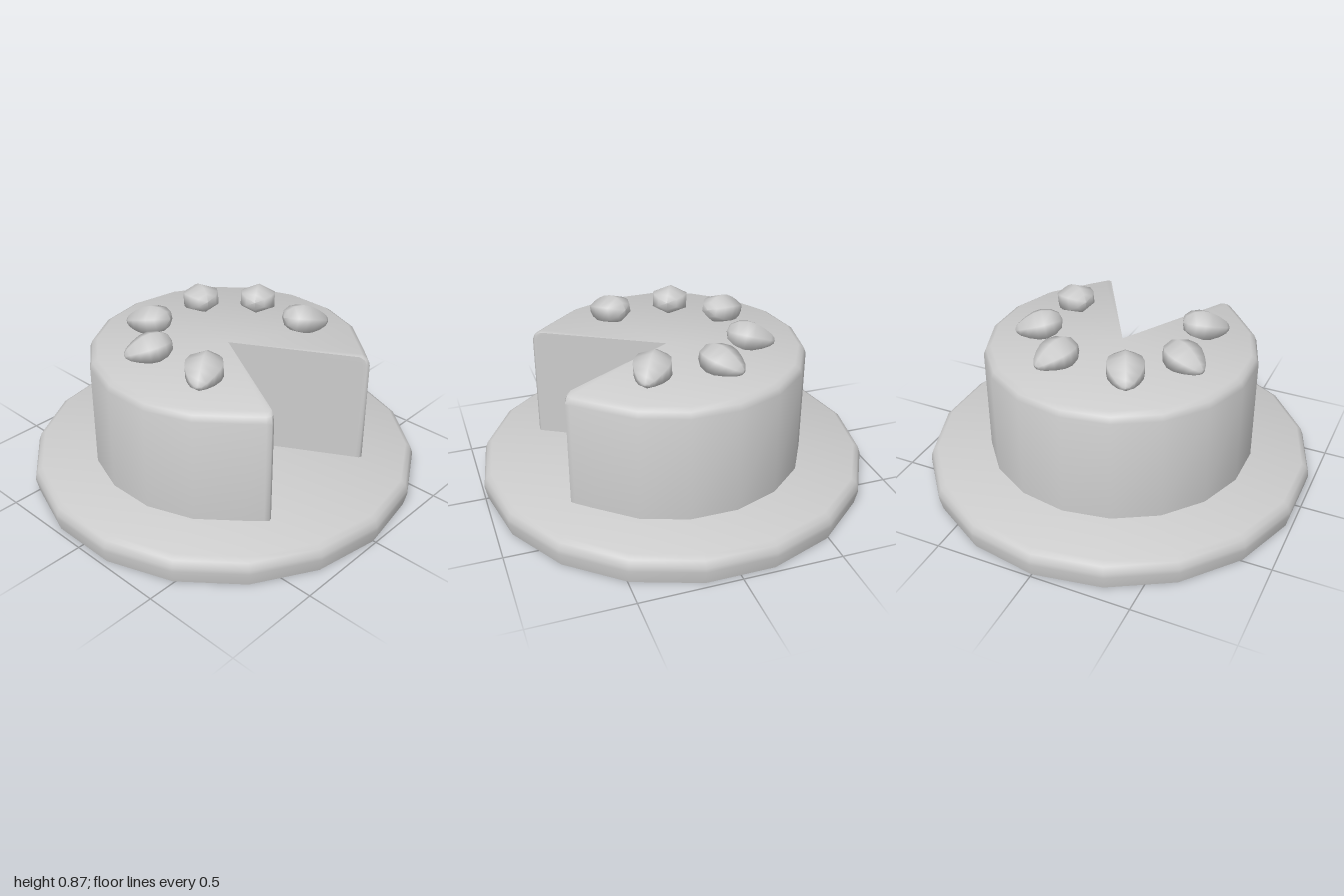
import * as THREE from 'three';
import { toCreasedNormals } from 'three/addons/utils/BufferGeometryUtils.js';

const material = new THREE.MeshStandardMaterial({ color: 0xcccccc });
const SIDES = 18;

function lathe(profile, sides) {
  return new THREE.LatheGeometry(profile.map(([r, y]) => new THREE.Vector2(r, y)), sides);
}

function part(name, geometry) {
  const mesh = new THREE.Mesh(geometry, material);
  mesh.name = name;
  return mesh;
}

// Round cake with a slice removed: a wedge outline stacked in levels.
function cakeGeometry() {
  const apex = [0, 0.03], radius = 0.69, centreZ = 0.02;
  const corner = [[0.335, 0.615], [0.345, 0.632], [0.362, 0.636], [0.38, 0.62]];
  const outline = [apex, ...corner];
  for (let i = 2; i <= SIDES - 2; i++) {
    const a = (i / SIDES) * Math.PI * 2;
    outline.push([Math.sin(a) * radius, centreZ + Math.cos(a) * radius]);
  }
  outline.push(...corner.map(([x, z]) => [-x, z]).reverse());

  // Height and scale towards the slice apex; the last levels round the rim.
  const levels = [[0.14, 1], [0.68, 1], [0.71, 0.982], [0.725, 0.945]];
  const positions = [], index = [], n = outline.length;
  for (const [y, s] of levels) {
    for (const [x, z] of outline) positions.push(x * s, y, apex[1] + (z - apex[1]) * s);
  }
  for (let k = 0; k < levels.length - 1; k++) {
    for (let i = 0; i < n; i++) {
      const j = (i + 1) % n, a = k * n + i, b = k * n + j;
      index.push(a, b, b + n, a, b + n, a + n);
    }
  }
  // Top and bottom caps fan out from the apex.
  const top = (levels.length - 1) * n;
  for (let i = 1; i < n - 1; i++) {
    index.push(top, top + i, top + i + 1, 0, i + 1, i);
  }
  const geometry = new THREE.BufferGeometry();
  geometry.setAttribute('position', new THREE.Float32BufferAttribute(positions, 3));
  geometry.setIndex(index);
  return toCreasedNormals(geometry, 1.0);
}

// Six-sided teardrop lying on its side, tip along +z and dipping slightly.
function berryGeometry() {
  const profile = [[0, -0.095], [0.055, -0.082], [0.09, -0.045], [0.104, 0],
    [0.098, 0.04], [0.075, 0.085], [0.045, 0.125], [0.02, 0.143], [0, 0.147]];
  return lathe(profile, 6).rotateX(Math.PI / 2).scale(1, 0.72, 1).rotateX(0.18);
}

export function createModel() {
  const group = new THREE.Group();
  group.name = 'cakeOnPlate';

  // Plate with a rounded upper rim
  const plate = lathe([[0, 0], [0.985, 0], [1, 0.07], [0.998, 0.09],
    [0.985, 0.125], [0.96, 0.14], [0, 0.14]], SIDES);
  group.add(part('plate', toCreasedNormals(plate, 1.0)));
  group.add(part('cake', cakeGeometry()));

  // Berries: position x, z and tip direction x, z
  const berries = new THREE.Group();
  berries.name = 'berries';
  const geometry = berryGeometry();
  const placements = [
    [-0.175, -0.325, -0.42, -0.91], [0.17, -0.325, 0.4, -0.92],
    [-0.372, -0.113, -0.14, -0.07], [0.37, -0.105, 0.14, -0.09],
    [-0.35, 0.21, -0.13, 0.08], [0.345, 0.21, 0.13, 0.08],
  ];
  placements.forEach(([x, z, dx, dz], i) => {
    const berry = part(`berry${i + 1}`, geometry);
    berry.position.set(x, 0.793, z);
    berry.rotation.y = Math.atan2(dx, dz);
    berries.add(berry);
  });
  group.add(berries);
  return group;
}
